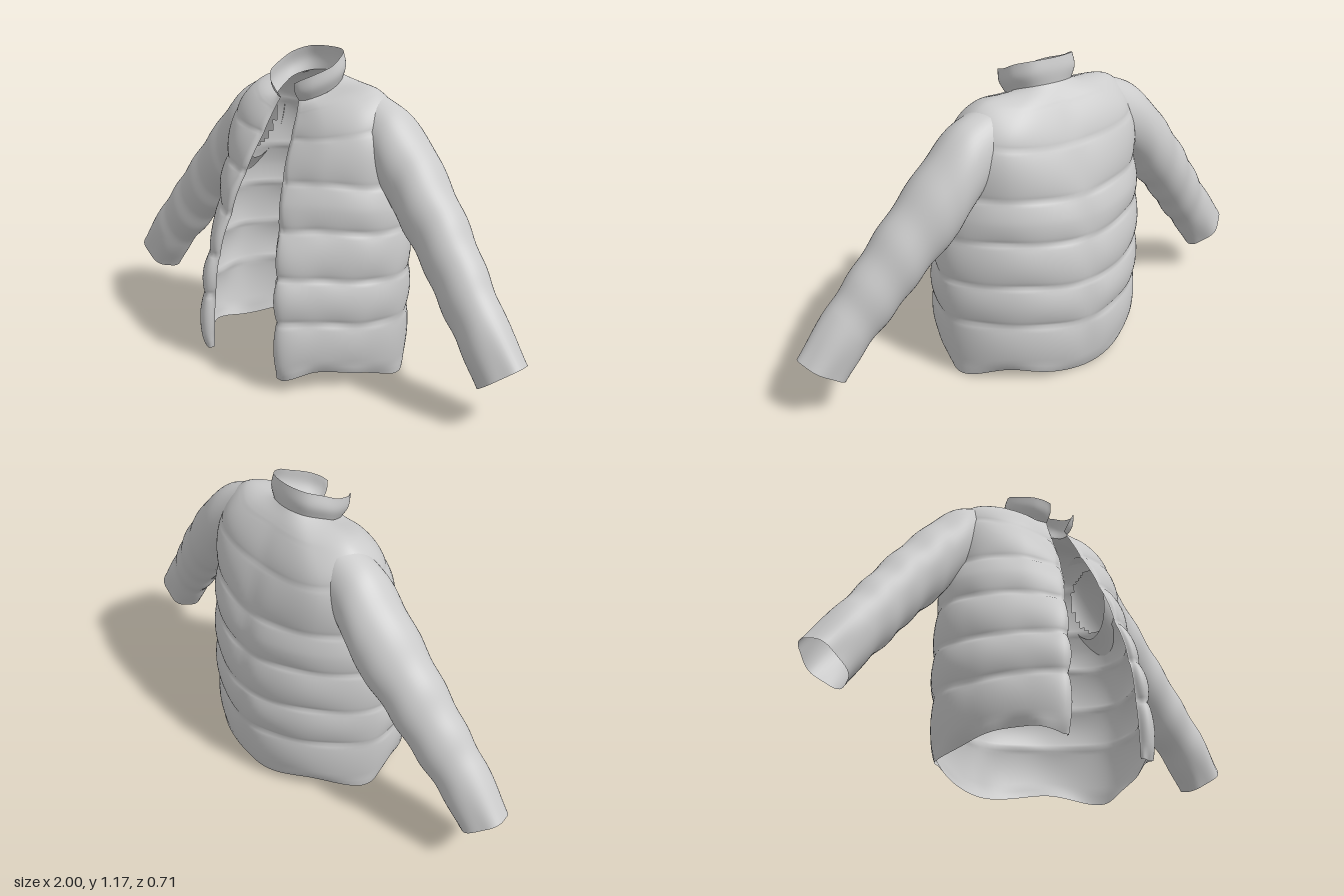
import * as THREE from 'three';

const material = new THREE.MeshStandardMaterial({ color: 0xcccccc, side: THREE.DoubleSide });
const V = (x, y, z) => new THREE.Vector3(x, y, z);

// Smooth sheet through rows of control points, then quilted along its normals.
// puff(u, v) and hole(u, v) get u from 0 to 1 along a row and v as the row number.
function quiltedSheet(name, rows, { nu, stepsPerRow, closed = false, puff, hole = () => false }) {
  const nv = (rows.length - 1) * stepsPerRow;
  const cols = closed ? nu : nu + 1;
  const curves = rows.map(r => new THREE.CatmullRomCurve3(r, closed));
  const pos = new Float32Array(cols * (nv + 1) * 3);
  for (let i = 0; i < cols; i++) {
    const column = new THREE.CatmullRomCurve3(curves.map(c => c.getPoint(i / nu)));
    for (let j = 0; j <= nv; j++) column.getPoint(j / nv).toArray(pos, (j * cols + i) * 3);
  }
  const index = [];
  for (let j = 0; j < nv; j++) {
    for (let i = 0; i < nu; i++) {
      if (hole((i + .5) / nu, (j + .5) / stepsPerRow)) continue;
      const a = j * cols + i, b = j * cols + (i + 1) % cols;
      index.push(a, b, b + cols, a, b + cols, a + cols);
    }
  }
  const geo = new THREE.BufferGeometry();
  geo.setAttribute('position', new THREE.BufferAttribute(pos, 3));
  geo.setIndex(index);
  geo.computeVertexNormals();
  const n = geo.attributes.normal.array.slice();
  for (let j = 0; j <= nv; j++) {
    for (let i = 0; i < cols; i++) {
      const d = puff(i / nu, j / stepsPerRow), k = (j * cols + i) * 3;
      for (let c = 0; c < 3; c++) pos[k + c] += n[k + c] * d;
    }
  }
  geo.computeVertexNormals();
  const mesh = new THREE.Mesh(geo, material);
  mesh.name = name;
  return mesh;
}

// Left half row (front edge to centre back) continued by its mirror image
const fullRow = half => {
  const left = half.map(p => V(...p));
  const right = left.slice(0, -1).reverse().map(p => V(-p.x, p.y, p.z));
  return [...left, ...right];
};
const pillow = v => Math.pow(Math.abs(Math.sin(Math.PI * v)), 0.7);
const bump = (x, centre, width) => Math.exp(-(((x - centre) / width) ** 2));

const neckline = [[.047, 1.01, .085], [.065, 1.01, .08], [.088, 1.018, .06], [.115, 1.04, 0], [.118, 1.065, -.05], [.08, 1.085, -.11], [0, 1.09, -.13]];

// One row per quilting seam, from hem to neck; the front edge curls in near the hem
const bodyRows = [
  [[.18, .05, .318], [.207, .045, .337], [.29, .075, .25], [.37, .055, .1], [.40, .01, -.07], [.255, .05, -.25], [0, .005, -.322]],
  [[.17, .265, .313], [.2, .265, .333], [.292, .265, .24], [.388, .25, .1], [.42, .25, -.065], [.255, .25, -.26], [0, .23, -.34]],
  [[.155, .42, .3], [.185, .42, .31], [.285, .42, .222], [.39, .41, .085], [.424, .41, -.065], [.255, .41, -.26], [0, .39, -.337]],
  [[.128, .58, .262], [.158, .58, .262], [.27, .59, .188], [.385, .58, .07], [.414, .58, -.07], [.255, .58, -.25], [0, .56, -.32]],
  [[.097, .74, .212], [.128, .74, .21], [.25, .75, .16], [.368, .74, .052], [.39, .74, -.08], [.262, .74, -.232], [0, .72, -.294]],
  [[.072, .88, .148], [.098, .885, .15], [.225, .9, .125], [.335, .925, .04], [.36, .945, -.08], [.265, .925, -.208], [0, .9, -.243]],
  [[.058, .965, .107], [.08, .97, .107], [.16, .995, .09], [.255, 1.03, .01], [.28, 1.05, -.08], [.185, 1.035, -.168], [0, 1.03, -.18]],
  neckline,
];

const collarRows = [
  neckline,
  [[.05, 1.045, .108], [.072, 1.045, .1], [.103, 1.058, .072], [.13, 1.085, 0], [.128, 1.11, -.055], [.088, 1.13, -.112], [0, 1.135, -.13]],
  [[.06, 1.075, .122], [.08, 1.088, .108], [.108, 1.105, .074], [.13, 1.132, 0], [.122, 1.157, -.05], [.085, 1.176, -.105], [0, 1.18, -.124]],
];

// Sleeve rings: top x, top y, bottom x, bottom y, centre z, half depth
const sleeveRings = [
  [.275, 1.045, .365, .70, -.08, .108], [.385, .995, .40, .66, -.08, .12],
  [.475, .908, .44, .605, -.08, .12], [.568, .80, .50, .545, -.067, .112],
  [.652, .70, .57, .468, -.055, .105], [.728, .602, .635, .39, -.04, .1],
  [.80, .507, .70, .312, -.025, .093], [.87, .415, .77, .235, -.01, .088],
  [.998, .248, .84, .13, 0, .08],
];
const sleeveRows = side => sleeveRings.map(([xt, yt, xb, yb, zc, rz]) =>
  Array.from({ length: 12 }, (_, i) => {
    const a = i / 12 * Math.PI * 2, t = (1 - Math.cos(a)) / 2;
    return V(side * (xt + (xb - xt) * t), yt + (yb - yt) * t, zc + side * rz * Math.sin(a));
  }));

export function createModel() {
  const jacket = new THREE.Group();
  jacket.name = 'jacket';

  // Body: open front, quilted bands flattening at the sides and shoulders, open armholes
  jacket.add(quiltedSheet('body', bodyRows.map(fullRow), {
    nu: 132, stepsPerRow: 14,
    puff: (u, v) => {
      const half = Math.min(u, 1 - u);
      const spine = 1 - 0.5 * bump(half, .5, .014);
      const sideSeam = 1 - 0.5 * bump(half, .333, .05);
      const edge = 1 - 0.6 * bump(half, 0, .04);
      const fade = THREE.MathUtils.clamp((6.2 - v) / 2.7, 0, 1);
      const gather = .002 * Math.sin(u * 75 + Math.floor(v) * 2.1) * (1 - pillow(v)) * fade;
      const hem = .006 * Math.sin(half * 60) * Math.max(0, 1 - v * 5);
      return (.002 + .017 * pillow(v) * sideSeam) * spine * edge * fade + gather + hem;
    },
    hole: (u, v) => ((Math.min(u, 1 - u) - .325) / .052) ** 2 + ((v - 4.7) / .72) ** 2 < 1,
  }));

  // Standing collar
  jacket.add(quiltedSheet('collar', collarRows.map(fullRow), {
    nu: 60, stepsPerRow: 8,
    puff: (u, v) => .002 * Math.sin(Math.PI * v / 2),
  }));

  // Sleeves: softly quilted open tubes
  for (const side of [1, -1]) {
    jacket.add(quiltedSheet(side > 0 ? 'leftSleeve' : 'rightSleeve', sleeveRows(side), {
      nu: 48, stepsPerRow: 10, closed: true,
      puff: (u, v) => {
        const cuff = Math.max(0, v - 7) * .004 * Math.sin(u * Math.PI * 10);
        return (v > 2 ? .005 * Math.sin(Math.PI * (v - 2) / 1.5) ** 2 : 0) + cuff;
      },
    }));
  }
  return jacket;
}
